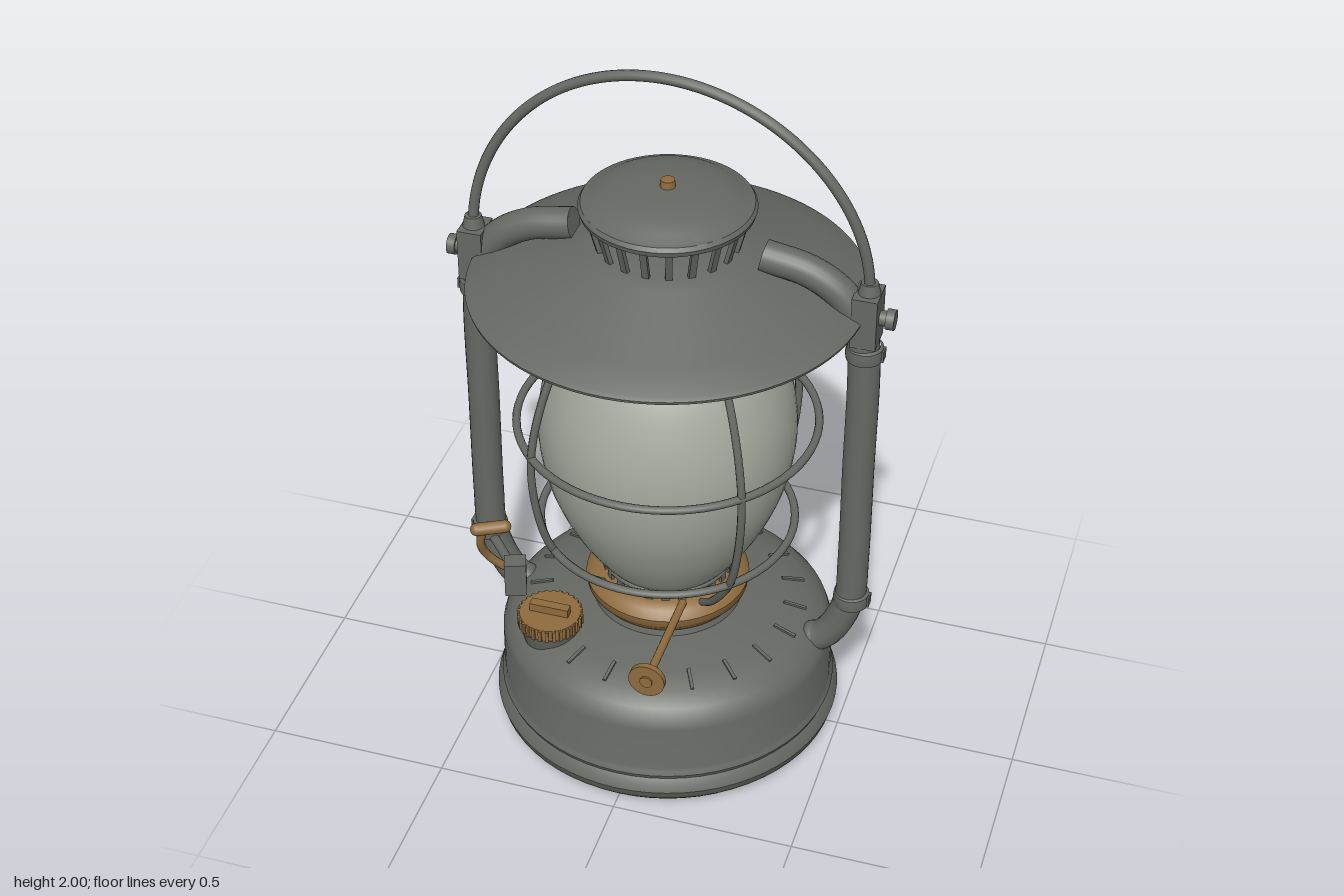
import * as THREE from 'three';
import { toCreasedNormals, mergeGeometries } from 'three/addons/utils/BufferGeometryUtils.js';

const mat = (name, color) => {
  const m = new THREE.MeshStandardMaterial({ color });
  m.name = name;
  return m;
};
const V = (x, y, z = 0) => new THREE.Vector3(x, y, z);

export function createModel() {
  const metal = mat('grey metal', 0x666963);
  const brass = mat('brass', 0x8f6c3e);
  const glass = mat('frosted glass', 0xa6aa9f);
  const root = new THREE.Group();
  root.name = 'lantern';

  const add = (name, geo, material, pos = [0, 0, 0], rot = [0, 0, 0], parent = root) => {
    const m = new THREE.Mesh(geo, material);
    m.name = name;
    m.position.set(...pos);
    m.rotation.set(...rot);
    parent.add(m);
    return m;
  };
  // Turned part from [radius, height] pairs, listed from bottom to top
  const turned = (pts, seg = 64, crease = 0.6) =>
    toCreasedNormals(new THREE.LatheGeometry(pts.map(p => new THREE.Vector2(...p)), seg), crease);
  // Round tube along a smooth path, closed by flat discs
  const tube = (pts, r, seg = 40, sides = 14) => {
    const curve = new THREE.CatmullRomCurve3(pts, false, 'centripetal');
    const caps = [0, 1].map(t => {
      const dir = curve.getTangent(t).multiplyScalar(t ? 1 : -1);
      const q = new THREE.Quaternion().setFromUnitVectors(V(0, 0, 1), dir);
      const p = curve.getPoint(t);
      return new THREE.CircleGeometry(r, sides).applyQuaternion(q).translate(p.x, p.y, p.z);
    });
    return mergeGeometries([new THREE.TubeGeometry(curve, seg, r, sides), ...caps]);
  };
  const cyl = (r, h, sides = 24, top = r) => new THREE.CylinderGeometry(top, r, h, sides);
  // Copies spread evenly around the vertical axis
  const around = (name, n, geo, material, start = 0) => {
    const g = new THREE.Group();
    g.name = name;
    for (let i = 0; i < n; i++) add(name + 'Piece', geo, material, [0, 0, 0], [0, start + i * 2 * Math.PI / n, 0], g);
    root.add(g);
  };

  // Fuel tank
  add('fuelTank', turned([
    [0, 0.012], [0.4, 0.012], [0.42, 0], [0.455, 0.008], [0.475, 0.03], [0.482, 0.055], [0.475, 0.075],
    [0.463, 0.092], [0.468, 0.105], [0.463, 0.118], [0.46, 0.125], [0.46, 0.265], [0.452, 0.29], [0.43, 0.317],
    [0.39, 0.342], [0.33, 0.358], [0.23, 0.372], [0.205, 0.376], [0.2, 0.395], [0, 0.395],
  ]), metal);
  // Pressed ribs on the tank shoulder
  around('shoulderRib', 20,
    new THREE.BoxGeometry(0.065, 0.012, 0.009).rotateZ(-0.26).translate(0.355, 0.351, 0), metal, Math.PI / 20);

  // Burner and the pronged gallery under the glass
  add('burner', turned([
    [0, 0.385], [0.195, 0.385], [0.205, 0.4], [0.222, 0.42], [0.225, 0.445], [0.21, 0.468], [0.185, 0.48],
    [0.15, 0.484], [0, 0.484],
  ]), brass);
  around('galleryProng', 24, new THREE.BoxGeometry(0.008, 0.03, 0.022).translate(0.175, 0.492, 0), metal);
  add('galleryRing', new THREE.TorusGeometry(0.175, 0.007, 8, 48), metal, [0, 0.507, 0], [Math.PI / 2, 0, 0]);

  // Glass globe
  const globe = new THREE.SplineCurve([
    [0.165, 0.5], [0.205, 0.55], [0.265, 0.65], [0.318, 0.78], [0.343, 0.92], [0.335, 1.05],
    [0.298, 1.18], [0.245, 1.28], [0.19, 1.37],
  ].map(p => new THREE.Vector2(...p)));
  add('globe', new THREE.LatheGeometry([new THREE.Vector2(0, 0.5), ...globe.getPoints(36)], 64), glass);

  // Wire guard
  for (const [y, r] of [[0.645, 0.345], [0.972, 0.4]])
    add('guardRing', new THREE.TorusGeometry(r, 0.011, 10, 72), metal, [0, y, 0], [Math.PI / 2, 0, 0]);
  around('guardWire', 4, tube([
    V(0.2, 0.475), V(0.245, 0.51), V(0.345, 0.645), V(0.39, 0.8), V(0.4, 0.972), V(0.36, 1.15), V(0.27, 1.35),
  ], 0.011, 36, 8), metal, Math.PI / 4);

  // Hood
  add('hood', turned([
    [0, 1.355], [0.2, 1.345], [0.25, 1.328], [0.33, 1.336], [0.42, 1.356], [0.5, 1.381], [0.515, 1.39],
    [0.517, 1.398], [0.505, 1.406], [0.43, 1.434], [0.34, 1.468], [0.27, 1.496], [0.22, 1.515], [0.19, 1.528], [0, 1.528],
  ], 80), metal);
  // Vent struts and chimney cap
  around('ventStrut', 20,
    new THREE.BoxGeometry(0.012, 0.105, 0.018).rotateZ(-0.26).translate(0.192, 1.568, 0), metal);
  add('chimneyCap', turned([
    [0, 1.612], [0.205, 1.612], [0.222, 1.618], [0.226, 1.632], [0.219, 1.643], [0.208, 1.646],
    [0.185, 1.66], [0.14, 1.675], [0.08, 1.682], [0, 1.684],
  ]), metal);
  add('capButton', cyl(0.02, 0.026, 20, 0.018), brass, [0, 1.69, 0]);

  // Side tubes with collars, handle brackets and pivots, mirrored
  for (const s of [1, -1]) {
    const g = new THREE.Group();
    g.name = s > 0 ? 'leftFrame' : 'rightFrame';
    root.add(g);
    add('sideTube', tube([
      V(0.41 * s, 0.3), V(0.45 * s, 0.325), V(0.49 * s, 0.39), V(0.516 * s, 0.48), V(0.52 * s, 0.6), V(0.52 * s, 0.9),
      V(0.518 * s, 1.28), V(0.502 * s, 1.38), V(0.45 * s, 1.455), V(0.37 * s, 1.503), V(0.25 * s, 1.528),
    ], 0.042, 80, 20), metal, [0, 0, 0], [0, 0, 0], g);
    add('elbowEnd', new THREE.SphereGeometry(0.042, 20, 12), metal, [0.42 * s, 0.308, 0], [0, 0, 0], g);
    for (const y of [0.475, 1.29]) {
      add('collar', turned([[0.04, -0.022], [0.048, -0.018], [0.05, 0], [0.048, 0.018], [0.04, 0.022]], 24), metal,
        [0.52 * s, y, 0], [0, 0, 0], g);
      add('collarTab', new THREE.BoxGeometry(0.02, 0.03, 0.03), metal, [0.562 * s, y, 0], [0, 0, 0], g);
    }
    add('bracket', new THREE.BoxGeometry(0.066, 0.145, 0.088), metal, [0.522 * s, 1.398, 0], [0, 0, 0], g);
    add('handleSocket', cyl(0.03, 0.035, 20, 0.022), metal, [0.524 * s, 1.483, 0], [0, 0, 0], g);
    add('pivot', cyl(0.02, 0.045), metal, [0.565 * s, 1.4, 0], [0, 0, Math.PI / 2], g);
    add('pivotHead', cyl(0.027, 0.022), metal, [0.583 * s, 1.4, 0], [0, 0, Math.PI / 2], g);
  }

  // Carrying handle, slightly twisted
  const arch = [V(-0.525, 1.42)];
  for (let i = 0; i <= 24; i++) {
    const t = Math.PI * i / 24;
    arch.push(V(-0.525 * Math.cos(t), 1.467 + 0.519 * Math.sin(t), -0.017 * Math.sin(2 * t)));
  }
  arch.push(V(0.525, 1.42));
  add('handle', tube(arch, 0.014, 96, 12), metal);

  // Wick adjuster
  add('wickRod', cyl(0.011, 0.32, 14), brass, [0.095, 0.485, 0.33], [Math.PI / 2, 0, 0]);
  add('wickWheel', cyl(0.049, 0.016, 28), brass, [0.095, 0.485, 0.49], [Math.PI / 2, 0, 0]);
  add('wickHub', cyl(0.017, 0.03, 16), brass, [0.095, 0.485, 0.488], [Math.PI / 2, 0, 0]);

  // Filler neck and ribbed cap
  const filler = new THREE.Group();
  filler.name = 'filler';
  filler.position.set(-0.265, 0, 0.23);
  root.add(filler);
  add('fillerNeck', cyl(0.07, 0.06, 32, 0.085), metal, [0, 0.345, 0], [0, 0, 0], filler);
  add('fillerCap', cyl(0.084, 0.036, 32), brass, [0, 0.392, 0], [0, 0, 0], filler);
  for (let i = 0; i < 28; i++) {
    const a = i * Math.PI / 14;
    add('capRib', new THREE.BoxGeometry(0.01, 0.034, 0.009), brass,
      [0.085 * Math.cos(a), 0.392, 0.085 * Math.sin(a)], [0, -a, 0], filler);
  }
  add('capGrip', new THREE.BoxGeometry(0.11, 0.028, 0.026), brass, [0, 0.42, 0], [0, 0, 0], filler);

  // Globe lifting lever
  add('leverBlock', new THREE.BoxGeometry(0.06, 0.105, 0.05), metal, [-0.387, 0.455, 0.165], [0, 0.35, 0]);
  add('leverLink', tube([V(-0.39, 0.46, 0.165), V(-0.44, 0.46, 0.1), V(-0.51, 0.46, 0.02)], 0.014, 8, 8), metal);
  add('leverArm', tube([
    V(-0.395, 0.48, 0.17), V(-0.425, 0.505, 0.185), V(-0.455, 0.55, 0.205), V(-0.46, 0.6, 0.225), V(-0.448, 0.66, 0.235),
  ], 0.012, 28, 10), brass);
  add('leverGrip', tube([V(-0.462, 0.66, 0.243), V(-0.395, 0.66, 0.208)], 0.018, 4, 14), brass);
  for (const [x, z] of [[-0.462, 0.243], [-0.395, 0.208]])
    add('gripEnd', new THREE.SphereGeometry(0.018, 14, 10), brass, [x, 0.66, z]);

  return root;
}
